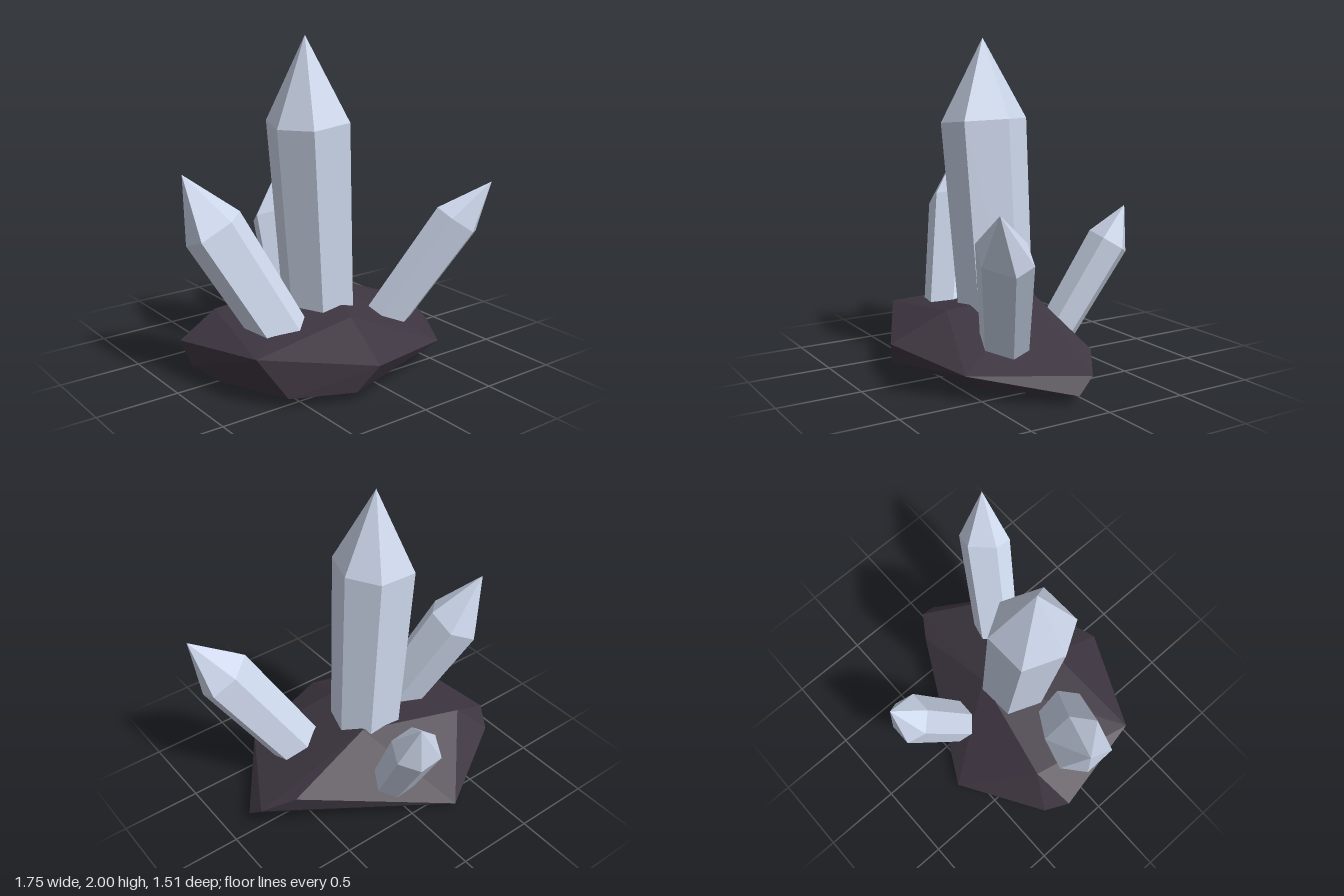
import * as THREE from 'three';
import { ConvexGeometry } from 'three/addons/geometries/ConvexGeometry.js';

const crystalMaterial = new THREE.MeshStandardMaterial({ color: 0xccd6ea, flatShading: true });
const rockMaterial = new THREE.MeshStandardMaterial({ color: 0x3d3540, flatShading: true });

// Faceted solid wrapped around a handful of corner points
function faceted(name, points, material) {
  const mesh = new THREE.Mesh(new ConvexGeometry(points), material);
  mesh.name = name;
  return mesh;
}

// Six-sided crystal: a leaning prism that narrows to its foot, with a pointed end.
// lean = x and z gained per unit of height; half = three [x, z] shoulder corners,
// the other three lie opposite; the shoulder is square to the leaning axis.
function crystal({ name, tip, shoulder, lean, half, footY, taper }) {
  const centre = new THREE.Vector3(...shoulder);
  const axis = new THREE.Vector3(lean[0], 1, lean[1]);
  const foot = centre.clone().addScaledVector(axis, footY - centre.y);
  const points = [new THREE.Vector3(...tip)];
  for (const [x, z] of half) {
    for (const side of [1, -1]) {
      const corner = new THREE.Vector3(x, -lean[0] * x - lean[1] * z, z).multiplyScalar(side);
      points.push(centre.clone().add(corner));
      points.push(foot.clone().addScaledVector(corner, taper));
    }
  }
  return faceted(name, points, crystalMaterial);
}

const crystals = [
  {
    name: 'mainCrystal', tip: [-0.165, 2, 0.1], shoulder: [-0.15, 1.505, 0.103], lean: [-0.079, 0.023],
    half: [[0.12, -0.23], [0.237, -0.035], [0.145, 0.215]], footY: 0.12, taper: 0.86,
  },
  {
    name: 'rightCrystal', tip: [-0.87, 1.25, -0.1], shoulder: [-0.723, 0.93, -0.023], lean: [-0.49, -0.36],
    half: [[-0.022, -0.167], [0.153, -0.134], [0.148, 0.053]], footY: 0.09, taper: 0.85,
  },
  {
    name: 'leftCrystal', tip: [0.87, 1.1, 0.605], shoulder: [0.71, 0.86, 0.48], lean: [0.6, 0.36],
    half: [[0, 0.14], [0.138, -0.1], [0.147, 0.02]], footY: 0.085, taper: 0.87,
  },
  {
    name: 'backCrystal', tip: [0.17, 0.96, -0.738], shoulder: [0.12, 0.73, -0.648], lean: [0.18, -0.58],
    half: [[-0.1, -0.108], [0.05, -0.106], [0.145, -0.005]], footY: 0.12, taper: 0.87,
  },
];

// Corners of the rough rock
const rockCorners = [
  // crest
  [0.08, 0.465, -0.09], [-0.61, 0.36, -0.225], [-0.066, 0.38, 0.415], [-0.02, 0.43, 0.1],
  // rim
  [-0.75, 0.3, 0.45], [-0.126, 0.21, 0.757], [0.478, 0.155, 0.588], [0.82, 0.15, -0.02],
  [0.637, 0.235, -0.14], [-0.796, 0.17, -0.32], [-0.875, 0.235, -0.18],
  // underside
  [0.845, 0.06, 0.087], [-0.26, 0.025, -0.62], [-0.85, 0.1, -0.1], [-0.75, 0.025, 0.05],
  [-0.6, 0.06, 0.54], [-0.245, 0.06, 0.7], [0.42, 0.02, 0.38], [-0.45, 0.025, 0.4],
];

export function createModel() {
  const model = new THREE.Group();
  model.name = 'crystalCluster';
  model.add(faceted('rock', rockCorners.map((p) => new THREE.Vector3(...p)), rockMaterial));
  for (const options of crystals) model.add(crystal(options));
  return model;
}
